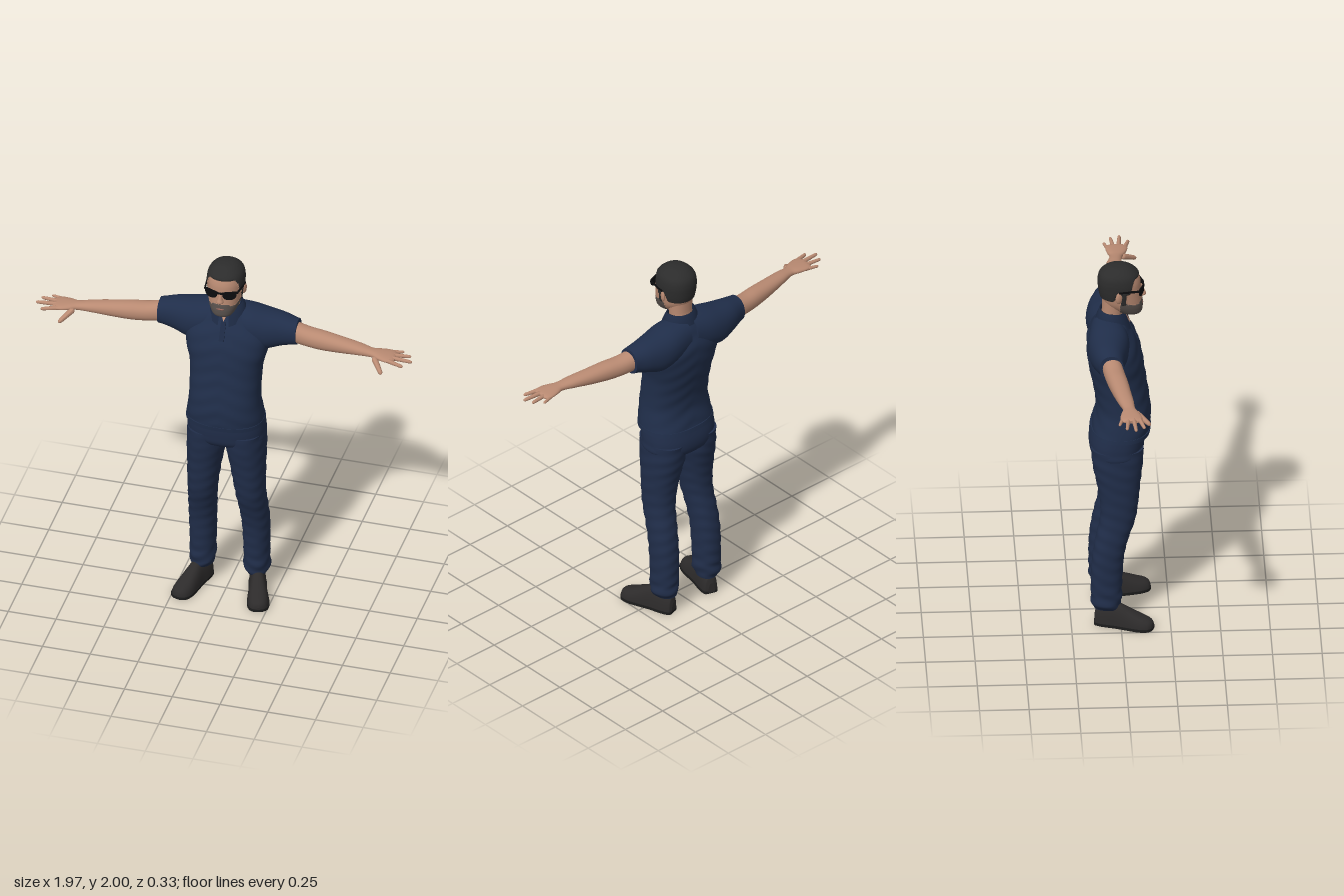
import * as THREE from 'three';
import { mergeVertices } from 'three/addons/utils/BufferGeometryUtils.js';

const mat = (name, color, side = THREE.FrontSide) => {
  const m = new THREE.MeshStandardMaterial({ color, side });
  m.name = name;
  return m;
};

// Hermite interpolation of section rows [t, aMin, aMax, bMin, bMax]
function sample(rows, t) {
  let i = 0;
  while (i < rows.length - 2 && t > rows[i + 1][0]) i++;
  const p = rows[Math.max(i - 1, 0)], q = rows[i], r = rows[i + 1], s = rows[Math.min(i + 2, rows.length - 1)];
  const h = r[0] - q[0], u = (t - q[0]) / h, u2 = u * u, u3 = u2 * u;
  return q.map((v, k) => {
    const m0 = (r[k] - p[k]) / (r[0] - p[0]) * h, m1 = (s[k] - q[k]) / (s[0] - q[0]) * h;
    return (2 * u3 - 3 * u2 + 1) * v + (u3 - 2 * u2 + u) * m0 + (3 * u2 - 2 * u3) * r[k] + (u3 - u2) * m1;
  });
}

// Skin over superelliptic cross-sections stacked along y, with capped ends.
// deform moves each vertex; paint picks a material index for each face.
function loft(rows, { seg = 36, sub = 6, pow = 2.2, deform = null, paint = null } = {}) {
  const pos = [], v = new THREE.Vector3(), faces = [[], [], []];
  const ts = [];
  rows.forEach((r, i) => {
    if (i) for (let k = 1; k <= sub; k++) ts.push(rows[i - 1][0] + (r[0] - rows[i - 1][0]) * k / sub);
    else ts.push(r[0]);
  });
  const ring = (t) => {
    const [, a0, a1, b0, b1] = sample(rows, t);
    for (let j = 0; j < seg; j++) {
      const th = j / seg * Math.PI * 2, c = Math.cos(th), s = Math.sin(th);
      v.set((a0 + a1) / 2 + (a1 - a0) / 2 * Math.sign(c) * Math.abs(c) ** (2 / pow), t,
        (b0 + b1) / 2 + (b1 - b0) / 2 * Math.sign(s) * Math.abs(s) ** (2 / pow));
      if (deform) deform(v);
      pos.push(v.x, v.y, v.z);
    }
  };
  const tri = (a, b, c) => {
    const mid = (k) => (pos[a * 3 + k] + pos[b * 3 + k] + pos[c * 3 + k]) / 3;
    faces[paint ? paint(mid(0), mid(1), mid(2)) : 0].push(a, b, c);
  };
  ts.forEach(ring);
  for (let i = 0; i < ts.length - 1; i++) for (let j = 0; j < seg; j++) {
    const a = i * seg + j, b = i * seg + (j + 1) % seg;
    tri(a, a + seg, b);
    tri(b, a + seg, b + seg);
  }
  [ts[0], ts[ts.length - 1]].forEach((t, top) => {
    const o = pos.length / 3;
    ring(t);
    for (let j = 1; j < seg - 1; j++) top ? tri(o, o + j + 1, o + j) : tri(o, o + j, o + j + 1);
  });
  const g = new THREE.BufferGeometry();
  g.setAttribute('position', new THREE.Float32BufferAttribute(pos, 3));
  g.setIndex(faces.flat());
  if (paint) faces.reduce((start, f, i) => (g.addGroup(start, f.length, i), start + f.length), 0);
  g.computeVertexNormals();
  return g;
}

// Rows [x, yMin, yMax, zMin, zMax] skinned along x
const loftX = (rows, opt) => loft(rows.map(([x, y0, y1, z0, z1]) => [x, -y1, -y0, z0, z1]), opt).rotateZ(-Math.PI / 2);

function mirror(geo) {
  const g = geo.index ? geo.clone() : mergeVertices(geo);
  g.scale(-1, 1, 1);
  const ix = g.index.array;
  for (let i = 0; i < ix.length; i += 3) [ix[i], ix[i + 1]] = [ix[i + 1], ix[i]];
  return g;
}

// Tapered finger between two points
function finger(from, to, r) {
  const a = new THREE.Vector3(...from), b = new THREE.Vector3(...to), d = b.clone().sub(a), len = d.length();
  const g = new THREE.CapsuleGeometry(r, len - 2 * r, 5, 12, 4), p = g.attributes.position;
  for (let i = 0; i < p.count; i++) {
    const k = 1 - 0.35 * (p.getY(i) / len + 0.5);
    p.setXYZ(i, p.getX(i) * k, p.getY(i), p.getZ(i) * k);
  }
  g.computeVertexNormals();
  g.applyQuaternion(new THREE.Quaternion().setFromUnitVectors(new THREE.Vector3(0, 1, 0), d.normalize()));
  return g.translate(...a.add(b).multiplyScalar(0.5).toArray());
}

const smooth = THREE.MathUtils.smoothstep;
const hairline = (z) => 1.83 + 0.04 * smooth(z, -0.035, -0.015) + 0.075 * smooth(z, 0.045, 0.075);
const isHair = (x, y, z) => y > hairline(z) || (z > 0.005 && z < 0.03 && y > 1.81);
const isBeard = (x, y, z) => z > 0.0 && y < 1.812 - 0.012 * smooth(z, 0.03, 0.08) + 0.012 * smooth(z, 0.095, 0.105);

export function createModel() {
  const root = new THREE.Group();
  root.name = 'standingMan';
  const skin = mat('skin', 0xb98a72), hair = mat('hair', 0x2c2c2c), beard = mat('beard', 0x5a524e);
  const shirt = mat('shirt', 0x202e4a), collarCloth = mat('collarCloth', 0x1d2a44, THREE.DoubleSide);
  const trousers = mat('trousers', 0x202d49), leather = mat('shoeLeather', 0x2d2b2b);
  const rubber = mat('soleRubber', 0x1c1c1c), black = mat('glassesBlack', 0x0c0c0e), lip = mat('lips', 0x96645a);
  const add = (name, geo, m) => {
    const mesh = new THREE.Mesh(geo, m);
    mesh.name = name;
    root.add(mesh);
    return mesh;
  };
  const pair = (name, geo, m) => {
    add(name + 'Left', geo, m);
    add(name + 'Right', mirror(geo), m);
  };
  const wrinkle = (amp) => (v) => { v.z += amp * Math.sin(v.y * 70 + Math.abs(v.x) * 32); };

  // Shirt: body, sleeves, hem, placket and collar
  add('shirtBody', loft([
    [1.065, -0.2, 0.2, -0.148, 0.152], [1.12, -0.194, 0.194, -0.135, 0.157], [1.2, -0.183, 0.183, -0.12, 0.155],
    [1.3, -0.182, 0.182, -0.13, 0.142], [1.4, -0.188, 0.188, -0.15, 0.127], [1.5, -0.212, 0.212, -0.164, 0.112],
    [1.58, -0.21, 0.21, -0.163, 0.088], [1.65, -0.175, 0.175, -0.14, 0.052], [1.695, -0.11, 0.11, -0.118, 0.026],
    [1.725, -0.068, 0.068, -0.1, 0.0]], { seg: 56, pow: 2.35, deform: wrinkle(0.0018) }), shirt);
  add('shirtHem', loft([[1.062, -0.202, 0.202, -0.151, 0.155], [1.085, -0.2, 0.2, -0.147, 0.158]], { seg: 56, sub: 2, pow: 2.35 }), shirt);
  pair('sleeve', loftX([
    [0.02, 1.52, 1.725, -0.15, 0.03], [0.12, 1.5, 1.715, -0.163, 0.045], [0.2, 1.488, 1.7, -0.16, 0.035],
    [0.28, 1.515, 1.688, -0.143, 0.016], [0.34, 1.533, 1.676, -0.122, 0.008], [0.362, 1.536, 1.672, -0.116, 0.006]]), shirt);
  const placket = add('placket', new THREE.BoxGeometry(0.026, 0.1, 0.008), collarCloth);
  placket.position.set(0, 1.618, 0.071);
  placket.rotation.x = -0.45;

  // Collar: open elliptical band, high at the nape, with points at the front
  const collar = new THREE.LatheGeometry([[0.108, 1.685], [0.098, 1.715], [0.081, 1.752], [0.072, 1.748], [0.072, 1.69]]
    .map((p) => new THREE.Vector2(...p)), 48, 0.28, Math.PI * 2 - 0.56);
  const cp = collar.attributes.position;
  for (let i = 0; i < cp.count; i++) {
    const f = cp.getZ(i) / 0.1, low = smooth(-cp.getY(i), -1.74, -1.69);
    const front = Math.max(f, 0);
    cp.setXYZ(i, cp.getX(i) * 0.95, cp.getY(i) - 0.02 * front - 0.018 * front ** 3 * low, cp.getZ(i) * 0.8 - 0.036 + 0.012 * front * low);
  }
  collar.computeVertexNormals();
  add('collar', collar, collarCloth);
  const notch = new THREE.Shape([[-0.024, 0.03], [0, -0.035], [0.024, 0.03]].map((p) => new THREE.Vector2(...p)));
  const opening = add('collarOpening', new THREE.ExtrudeGeometry(notch, { depth: 0.006, bevelEnabled: false }), skin);
  opening.position.set(0, 1.697, 0.034);
  opening.rotation.x = -0.5;

  // Trousers: hips, legs and bunched cuffs
  add('trouserHips', loft([
    [0.905, -0.06, 0.06, -0.1, 0.045], [0.94, -0.185, 0.185, -0.143, 0.108], [1.0, -0.2, 0.2, -0.155, 0.125],
    [1.08, -0.196, 0.196, -0.14, 0.128]], { seg: 48, pow: 2.4 }), trousers);
  pair('trouserLeg', loft([
    [0.095, 0.09, 0.193, -0.138, -0.008], [0.13, 0.077, 0.207, -0.148, 0.004], [0.2, 0.076, 0.206, -0.15, 0.005],
    [0.3, 0.073, 0.207, -0.15, 0.01], [0.4, 0.069, 0.208, -0.142, 0.018], [0.5, 0.062, 0.205, -0.125, 0.042],
    [0.6, 0.052, 0.2, -0.104, 0.075], [0.7, 0.038, 0.2, -0.105, 0.09], [0.8, 0.022, 0.201, -0.12, 0.1],
    [0.9, 0.002, 0.202, -0.14, 0.112], [1.0, 0.0, 0.198, -0.148, 0.118]], {
    seg: 40, deform: (v) => {
      const k = 0.0015 + 0.003 * smooth(-v.y, -0.3, -0.12);
      v.z += k * Math.sin(v.y * 95 + v.x * 30);
      v.x += k * Math.sin(v.y * 80 + v.z * 30);
    } }), trousers);

  // Shoes, toes turned out
  const place = (g) => g.rotateY(0.29).translate(0.17, 0, 0.015);
  const shoeRows = [[-0.15, 0.018, 0.06], [-0.142, 0.034, 0.095], [-0.1, 0.043, 0.122], [-0.03, 0.044, 0.124], [0.03, 0.05, 0.098],
    [0.09, 0.054, 0.07], [0.13, 0.045, 0.054], [0.148, 0.028, 0.04], [0.154, 0.01, 0.025]];
  const shoe = loft(shoeRows.map(([z, w, h]) => [z, -w, w, -h, h]),
    { pow: 2.5, deform: (v) => { v.z = Math.min(v.z, -0.006); } });
  pair('shoe', place(shoe.rotateX(Math.PI / 2)), leather);
  const edge = shoeRows.map(([z, w]) => new THREE.Vector2(w + 0.003, -z));
  const outline = new THREE.Shape().setFromPoints(
    new THREE.SplineCurve([...edge, ...edge.map((p) => new THREE.Vector2(-p.x, p.y)).reverse()]).getPoints(60));
  pair('shoeSole', place(new THREE.ExtrudeGeometry(outline, { depth: 0.014, bevelEnabled: false }).rotateX(-Math.PI / 2)), rubber);

  // Arms and hands, palms down
  pair('arm', loftX([
    [0.33, 1.55, 1.66, -0.105, -0.005], [0.42, 1.545, 1.645, -0.092, 0.01], [0.5, 1.546, 1.643, -0.078, 0.022],
    [0.6, 1.557, 1.636, -0.058, 0.032], [0.7, 1.572, 1.628, -0.035, 0.042], [0.77, 1.58, 1.619, -0.016, 0.047],
    [0.81, 1.582, 1.617, -0.026, 0.065], [0.85, 1.583, 1.614, -0.033, 0.077], [0.88, 1.584, 1.61, -0.03, 0.074],
    [0.893, 1.59, 1.604, -0.015, 0.06]], { seg: 28 }), skin);
  const hand = [
    ['indexFinger', [0.855, 1.597, 0.06], [0.948, 1.59, 0.086], 0.0125], ['middleFinger', [0.86, 1.599, 0.033], [0.985, 1.597, 0.042], 0.0125],
    ['ringFinger', [0.86, 1.598, 0.008], [0.968, 1.597, -0.004], 0.012], ['littleFinger', [0.845, 1.596, -0.018], [0.922, 1.594, -0.04], 0.0105],
    ['thumb', [0.785, 1.594, 0.045], [0.845, 1.548, 0.12], 0.0165]];
  hand.forEach(([name, from, to, r]) => pair(name, finger(from, to, r), skin));

  // Neck and head; hair and beard are face groups, slightly raised
  add('neck', loft([[1.66, -0.066, 0.066, -0.1, 0.02], [1.72, -0.06, 0.06, -0.092, 0.016], [1.76, -0.061, 0.061, -0.088, 0.02],
    [1.85, -0.066, 0.066, -0.09, 0.03]]), skin);
  add('head', loft([
    [1.726, -0.03, 0.03, 0.035, 0.09], [1.74, -0.052, 0.052, 0.0, 0.11], [1.77, -0.07, 0.07, -0.05, 0.116],
    [1.8, -0.08, 0.08, -0.082, 0.114], [1.84, -0.086, 0.086, -0.097, 0.111], [1.88, -0.09, 0.09, -0.104, 0.108],
    [1.92, -0.091, 0.091, -0.106, 0.104], [1.955, -0.083, 0.083, -0.097, 0.09], [1.98, -0.06, 0.06, -0.072, 0.062],
    [1.992, -0.035, 0.035, -0.045, 0.035], [1.996, -0.008, 0.008, -0.015, 0.008]], {
    seg: 120, sub: 10, deform: (v) => {
      const out = isHair(v.x, v.y, v.z) ? 0.005 : isBeard(v.x, v.y, v.z) ? 0.002 : 0;
      const d = v.clone().sub(new THREE.Vector3(0, 1.87, 0)).normalize();
      v.addScaledVector(d, out);
    }, paint: (x, y, z) => isHair(x, y, z) ? 1 : isBeard(x, y, z) ? 2 : 0 }), [skin, hair, beard]);
  add('nose', loft([[1.82, -0.009, 0.009, 0.1, 0.122], [1.83, -0.018, 0.018, 0.095, 0.134], [1.85, -0.012, 0.012, 0.095, 0.128],
    [1.885, -0.009, 0.009, 0.09, 0.114]], { seg: 20, pow: 2 }), skin);
  add('mouth', new THREE.SphereGeometry(1, 20, 10).scale(0.022, 0.005, 0.006).translate(0, 1.785, 0.114), lip);
  pair('ear', new THREE.SphereGeometry(1, 18, 14).scale(0.009, 0.031, 0.018).rotateY(-0.35).translate(0.093, 1.855, -0.006), skin);

  // Sunglasses
  const lens = new THREE.Shape();
  lens.moveTo(-0.033, 0.022).lineTo(0.041, 0.024).lineTo(0.039, 0.0).quadraticCurveTo(0.034, -0.022, 0.008, -0.023)
    .quadraticCurveTo(-0.026, -0.023, -0.03, -0.002).closePath();
  pair('lens', new THREE.ExtrudeGeometry(lens, { depth: 0.006, bevelEnabled: false }).rotateY(0.35).translate(0.043, 1.872, 0.108), black);
  pair('glassesArm', new THREE.BoxGeometry(0.006, 0.01, 0.105).rotateY(-0.12).translate(0.091, 1.888, 0.045), black);
  add('glassesBridge', new THREE.BoxGeometry(0.03, 0.008, 0.008).translate(0, 1.885, 0.12), black);
  return root;
}
